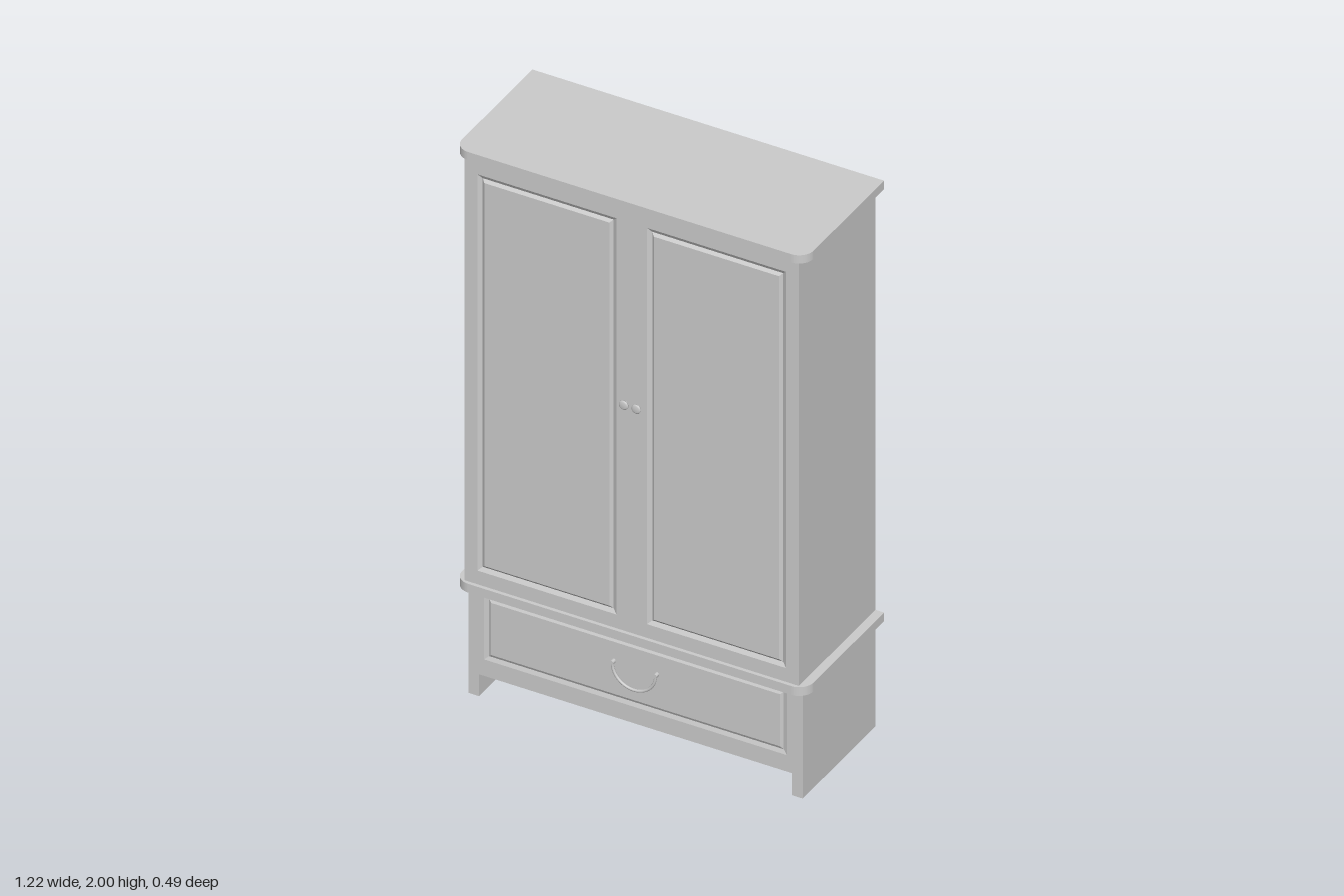
import * as THREE from 'three';

const BACK = -0.243, HALF = 0.58;
const material = new THREE.MeshStandardMaterial({ color: 0xcccccc });

function add(parent, name, geometry, x = 0, y = 0, z = 0) {
  const mesh = new THREE.Mesh(geometry, material);
  mesh.name = name;
  mesh.position.set(x, y, z);
  parent.add(mesh);
  return mesh;
}

function box(parent, name, x0, x1, y0, y1, z0, z1) {
  return add(parent, name, new THREE.BoxGeometry(x1 - x0, y1 - y0, z1 - z0),
    (x0 + x1) / 2, (y0 + y1) / 2, (z0 + z1) / 2);
}

const corners = ([x0, x1, y0, y1], inset = 0) => [
  [x0 + inset, y0 + inset], [x1 - inset, y0 + inset],
  [x1 - inset, y1 - inset], [x0 + inset, y1 - inset],
];
const outline = (rect) => corners(rect).map(([x, y]) => new THREE.Vector2(x, y));

// V-shaped groove around a flat panel field; rings are [inset, depth]
function panelGeometry(rect, rings) {
  const pos = [];
  const quad = (a, b, c, d) => pos.push(...a, ...b, ...c, ...a, ...c, ...d);
  const loops = rings.map(([inset, z]) => corners(rect, inset).map(([x, y]) => [x, y, z]));
  for (let r = 0; r < loops.length - 1; r++) {
    for (let i = 0; i < 4; i++) {
      const j = (i + 1) % 4;
      quad(loops[r][i], loops[r][j], loops[r + 1][j], loops[r + 1][i]);
    }
  }
  quad(...loops[loops.length - 1]);
  const geometry = new THREE.BufferGeometry();
  geometry.setAttribute('position', new THREE.Float32BufferAttribute(pos, 3));
  geometry.computeVertexNormals();
  return geometry;
}

// Cabinet section: solid carcass plus a front frame holding grooved panels
function section(parent, name, y0, y1, front, panels, depth) {
  const group = new THREE.Group();
  group.name = name;
  parent.add(group);
  const thick = 0.012;
  box(group, name + 'Carcass', -HALF, HALF, y0, y1, BACK, front - thick);
  const shape = new THREE.Shape(outline([-HALF, HALF, y0, y1]));
  for (const rect of panels) shape.holes.push(new THREE.Path(outline(rect)));
  add(group, name + 'FrontFrame',
    new THREE.ExtrudeGeometry(shape, { depth: thick, bevelEnabled: false }), 0, 0, front - thick);
  for (const rect of panels) {
    add(group, name + 'Panel', panelGeometry(rect, [[0, 0], [0.014, -depth], [0.024, 0]]), 0, 0, front);
  }
  return group;
}

// Board with two rounded front corners
function board(parent, name, y0, y1) {
  const w = 0.61, front = 0.24, r = 0.05;
  const shape = new THREE.Shape();
  shape.moveTo(-w, -BACK);
  shape.lineTo(-w, -front + r);
  shape.absarc(-w + r, -front + r, r, Math.PI, Math.PI * 1.5, false);
  shape.lineTo(w - r, -front);
  shape.absarc(w - r, -front + r, r, Math.PI * 1.5, Math.PI * 2, false);
  shape.lineTo(w, -BACK);
  shape.closePath();
  const geometry = new THREE.ExtrudeGeometry(shape, { depth: y1 - y0, bevelEnabled: false, curveSegments: 8 });
  geometry.rotateX(-Math.PI / 2);
  add(parent, name, geometry, 0, y0, 0);
}

export function createModel() {
  const model = new THREE.Group();
  model.name = 'wardrobe';
  const doorFront = 0.228, drawerFront = 0.204;

  // Upper cupboard with two doors, lower section with one drawer
  const doors = section(model, 'cupboard', 0.425, 1.97, doorFront,
    [[-0.535, -0.053, 0.475, 1.92], [0.053, 0.535, 0.475, 1.92]], 0.008);
  const drawer = section(model, 'drawer', 0.08, 0.395, drawerFront,
    [[-0.525, 0.525, 0.14, 0.378]], 0.005);

  board(model, 'topBoard', 1.97, 2);
  board(model, 'middleBoard', 0.393, 0.425);

  // Full-depth plinth runners and door knobs
  const knobProfile = [[0.008, 0], [0.007, 0.005], [0.016, 0.009], [0.016, 0.012], [0.011, 0.015], [0, 0.015]]
    .map(([x, y]) => new THREE.Vector2(x, y));
  for (const s of [-1, 1]) {
    const x = s * (HALF - 0.0185);
    box(model, 'foot', x - 0.0185, x + 0.0185, 0, 0.08, BACK, drawerFront);
    const knob = add(doors, 'doorKnob', new THREE.LatheGeometry(knobProfile, 20), s * 0.022, 1.255, doorFront);
    knob.rotation.x = Math.PI / 2;
  }

  // Hanging drawer handle with its two fixings
  const points = [];
  for (let i = 0; i <= 16; i++) {
    const a = Math.PI * (1 + i / 16);
    points.push(new THREE.Vector3(Math.cos(a) * 0.075, Math.sin(a) * 0.075, 0));
  }
  add(drawer, 'drawerHandle',
    new THREE.TubeGeometry(new THREE.CatmullRomCurve3(points), 32, 0.005, 8), 0, 0.284, 0.214);
  for (const s of [-1, 1]) {
    const post = add(drawer, 'handleFixing', new THREE.CylinderGeometry(0.007, 0.007, 0.016, 12),
      s * 0.075, 0.286, drawerFront + 0.007);
    post.rotation.x = Math.PI / 2;
  }
  return model;
}
